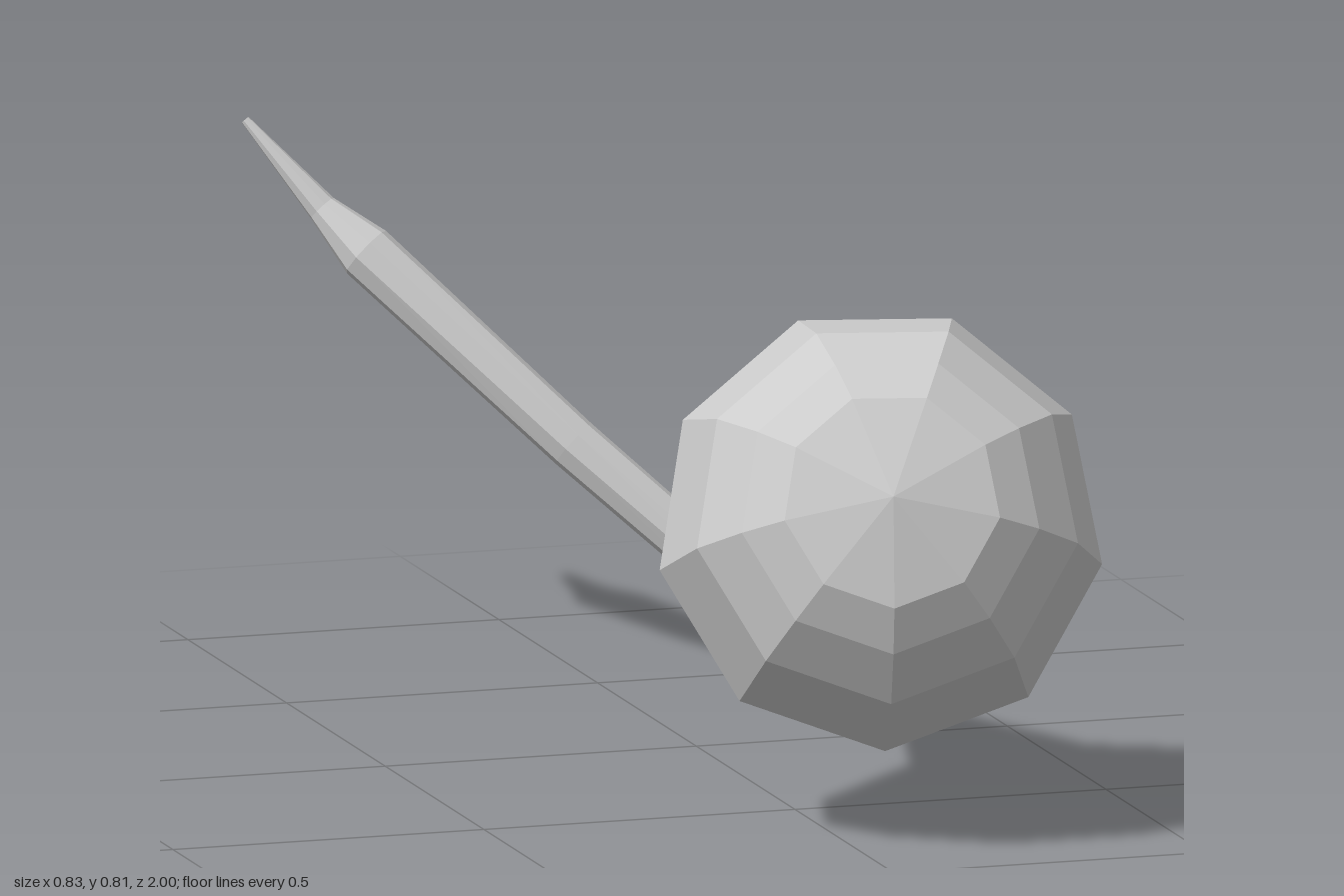
import * as THREE from 'three';

const SIDES = 9;
const material = new THREE.MeshStandardMaterial({ color: 0xcccccc, flatShading: true });

// Faceted rod through stations [x, y, z, radius], closed at both ends
function loft(stations, sides) {
  const centres = stations.map(([x, y, z]) => new THREE.Vector3(x, y, z));
  const up = new THREE.Vector3(0, 1, 0);
  const positions = [], index = [];
  stations.forEach(([, , , r], i) => {
    const before = centres[Math.max(i - 1, 0)];
    const after = centres[Math.min(i + 1, centres.length - 1)];
    const t = after.clone().sub(before).normalize();
    const u = up.clone().cross(t).normalize();
    const v = t.clone().cross(u);
    for (let j = 0; j < sides; j++) {
      const a = (j / sides) * Math.PI * 2;
      const p = centres[i].clone().addScaledVector(u, r * Math.cos(a)).addScaledVector(v, r * Math.sin(a));
      positions.push(p.x, p.y, p.z);
    }
  });
  const last = (stations.length - 1) * sides;
  for (let i = 0; i < last; i += sides) {
    for (let j = 0; j < sides; j++) {
      const k = (j + 1) % sides;
      index.push(i + j, i + k, i + sides + k, i + j, i + sides + k, i + sides + j);
    }
  }
  for (let j = 1; j < sides - 1; j++) {
    index.push(0, j + 1, j, last, last + j, last + j + 1);
  }
  const geometry = new THREE.BufferGeometry();
  geometry.setAttribute('position', new THREE.Float32BufferAttribute(positions, 3));
  geometry.setIndex(index);
  geometry.computeVertexNormals();
  return geometry;
}

function addPart(group, name, geometry) {
  const mesh = new THREE.Mesh(geometry, material);
  mesh.name = name;
  group.add(mesh);
  return mesh;
}

export function createModel() {
  const group = new THREE.Group();
  group.name = 'jointedClub';

  // Club: slim handle flaring into a domed head, [radius, distance along axis]
  const rim = 1.23;
  const profile = [
    [0, 0], [0.043, 0], [0.038, 0.15], [0.041, 0.465], [0.14, 0.92], [0.345, rim],
    [0.297, rim + 0.165], [0.232, rim + 0.245], [0.168, rim + 0.292], [0, rim + 0.33],
  ].map(([r, t]) => new THREE.Vector2(r, t));
  const club = addPart(group, 'club', new THREE.LatheGeometry(profile, SIDES));

  // Tilt the club along its axis, with one facet corner pointing straight down
  const axis = new THREE.Vector3(-0.223, 0.346, 0.911).normalize();
  const side = new THREE.Vector3(0, -1, 0).cross(axis).negate().normalize();
  const corner = side.clone().cross(axis).normalize();
  club.quaternion.setFromRotationMatrix(new THREE.Matrix4().makeBasis(side, axis, corner));
  club.position.set(0.36, 0.041, -0.46);

  // Second stick: gently bent shaft with a tapering point
  addPart(group, 'pointedStick', loft([
    [0.312, 0.062, -0.482, 0.022],
    [0.29, 0.08, -0.495, 0.039],
    [0.016, 0.34, -0.672, 0.042],
    [-0.255, 0.618, -0.87, 0.045],
    [-0.31, 0.68, -0.918, 0.024],
    [-0.41, 0.81, -0.993, 0.007],
  ], SIDES));

  // Short link joining the two pieces
  addPart(group, 'link', loft([
    [0.3, 0.07, -0.488, 0.011],
    [0.33, 0.07, -0.478, 0.011],
    [0.36, 0.05, -0.455, 0.011],
  ], 6));

  return group;
}
